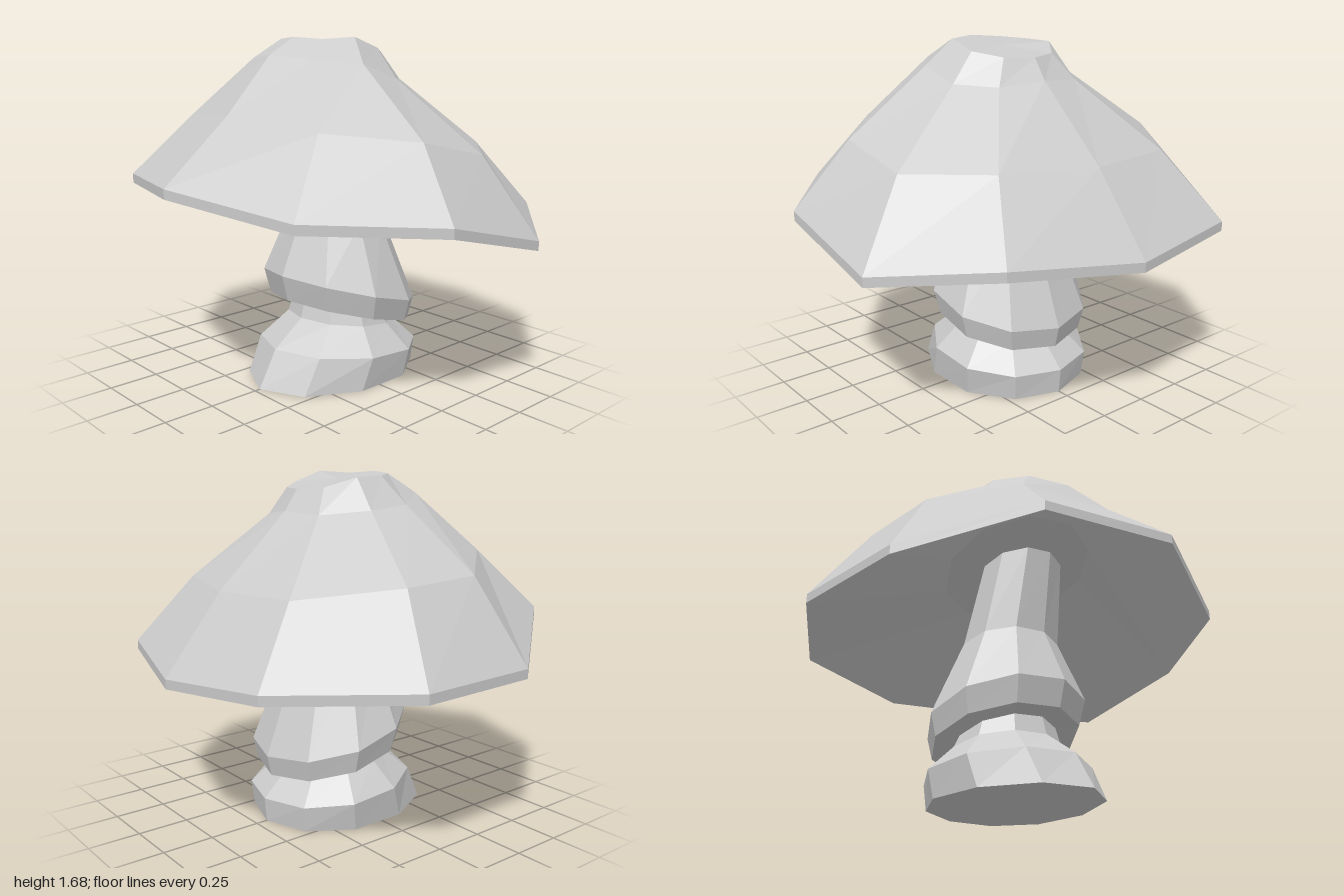
import * as THREE from 'three';

const SIDES = 10;
const material = new THREE.MeshStandardMaterial({ color: 0xcccccc, flatShading: true });

// Ten-sided ring, angle running from +x to +z. Heights follow a sideways tilt
// or an explicit list; bow shifts the front and back corners sideways, and
// bulge pushes the back corner on the +x side outward.
function ring(cx, cy, rx, rz, { tilt = 0, ys = null, bow = 0, bulge = 0 } = {}) {
  const points = [];
  for (let i = 0; i < SIDES; i++) {
    const a = (i / SIDES) * Math.PI * 2;
    const dx = rx * Math.cos(a);
    const y = ys ? cy + ys[i] : cy - tilt * dx;
    const x = cx + dx + bow * Math.sin(a) ** 2 + (i === 9 ? bulge : 0);
    points.push(new THREE.Vector3(x, y, rz * Math.sin(a)));
  }
  return points;
}

// Skin a list of rings and close both ends with fans
function loft(name, rings) {
  const out = [];
  const tri = (...corners) => corners.forEach((p) => out.push(p.x, p.y, p.z));
  const centre = (r) => r.reduce((s, p) => s.add(p), new THREE.Vector3()).divideScalar(SIDES);
  const first = rings[0];
  const last = rings[rings.length - 1];
  const c0 = centre(first);
  const c1 = centre(last);
  for (let i = 0; i < SIDES; i++) {
    const j = (i + 1) % SIDES;
    tri(c0, first[i], first[j]);
    for (let k = 0; k < rings.length - 1; k++) {
      const a = rings[k];
      const b = rings[k + 1];
      tri(a[i], b[i], a[j]);
      tri(a[j], b[i], b[j]);
    }
    tri(c1, last[j], last[i]);
  }
  const geometry = new THREE.BufferGeometry();
  geometry.setAttribute('position', new THREE.Float32BufferAttribute(out, 3));
  geometry.computeVertexNormals();
  const mesh = new THREE.Mesh(geometry, material);
  mesh.name = name;
  return mesh;
}

export function createModel() {
  const group = new THREE.Group();
  group.name = 'mushroom';

  // Cap: tilted hollow underside, thin uneven rim, then the dome up to a dented crown
  const rimYs = [0.80, 0.85, 0.79, 0.94, 0.97, 1.05, 1.02, 0.855, 0.845, 0.85];
  const midYs = [1.16, 1.17, 1.16, 1.25, 1.29, 1.34, 1.31, 1.24, 1.22, 1.17];
  const upperYs = [1.50, 1.48, 1.49, 1.56, 1.58, 1.60, 1.58, 1.53, 1.51, 1.49];
  const crownYs = [1.60, 1.605, 1.63, 1.68, 1.67, 1.68, 1.67, 1.66, 1.655, 1.61];
  group.add(loft('cap', [
    ring(-0.02, 1.24, 0.375, 0.375, { tilt: 0.31 }),
    ring(-0.003, -0.045, 0.957, 1.05, { ys: rimYs, bow: 0.05, bulge: 0.09 }),
    ring(-0.003, 0, 0.957, 1.05, { ys: rimYs, bow: 0.05, bulge: 0.09 }),
    ring(0.023, 0, 0.645, 0.79, { ys: midYs, bow: 0.01, bulge: 0.07 }),
    ring(-0.035, 0, 0.345, 0.37, { ys: upperYs, bow: 0.015, bulge: 0.03 }),
    ring(0, 0, 0.24, 0.25, { ys: crownYs }),
  ]));

  // Foot: flared base that narrows into the neck
  group.add(loft('foot', [
    ring(-0.015, 0, 0.457, 0.37, { bow: 0.045 }),
    ring(0.04, 0.148, 0.412, 0.388, { tilt: 0.075, bow: 0.025 }),
    ring(0.06, 0.27, 0.265, 0.27, { tilt: 0.12 }),
    ring(0.05, 0.38, 0.22, 0.23, { tilt: 0.22 }),
  ]));

  // Stem: tilted skirt tapering up into the cap
  group.add(loft('stem', [
    ring(0.05, 0.335, 0.22, 0.23, { tilt: 0.26 }),
    ring(0.06, 0.32, 0.35, 0.37, { tilt: 0.26 }),
    ring(0.055, 0.435, 0.378, 0.4, { tilt: 0.28 }),
    ring(0.035, 0.79, 0.235, 0.255, { tilt: 0.15 }),
    ring(-0.045, 1.21, 0.205, 0.21, { tilt: 0.22 }),
  ]));

  return group;
}
